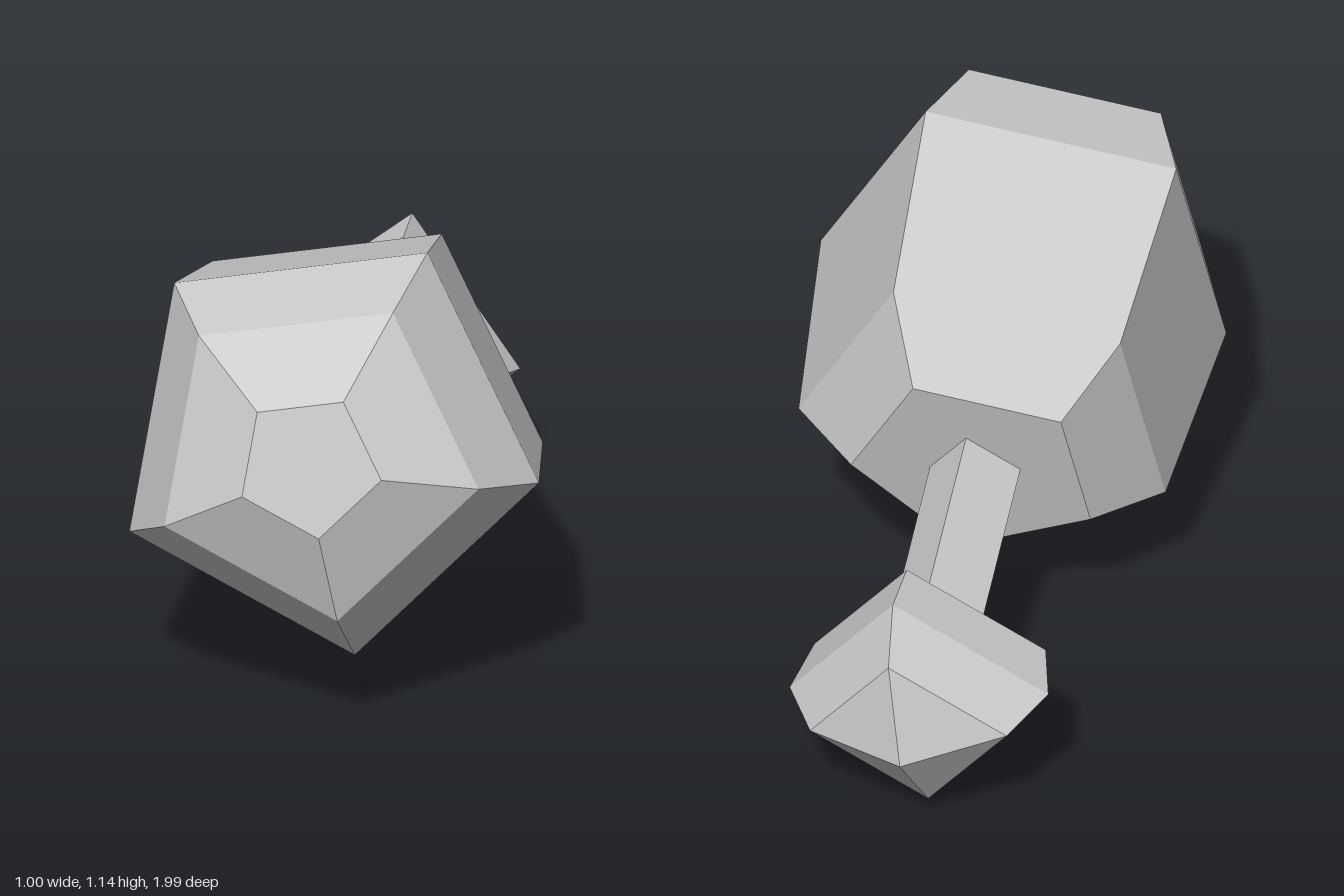
import * as THREE from 'three';

// Faceted solid of revolution: rings are [position along axis, radius], back to front
function facetedLathe(rings, sides, material, name) {
  const stretch = Math.hypot(1, 0.265, 0.037); // ring positions are given along z
  const points = rings.map(([z, r]) => new THREE.Vector2(r, z * stretch));
  const geometry = new THREE.LatheGeometry(points, sides).toNonIndexed();
  geometry.computeVertexNormals(); // one normal per facet
  const mesh = new THREE.Mesh(geometry, material);
  mesh.name = name;
  return mesh;
}

export function createModel() {
  const group = new THREE.Group();
  group.name = 'tiltedGrenade';
  const grey = new THREE.MeshStandardMaterial({ color: 0xcccccc });
  grey.name = 'grey';

  // Five-sided body with flat caps at both ends
  const body = facetedLathe(
    [[-0.083, 0], [-0.083, 0.316], [0.084, 0.484], [0.598, 0.535], [0.824, 0.41], [0.95, 0.182], [0.95, 0]],
    5, grey, 'body');

  // Square handle
  const handle = facetedLathe([[-0.56, 0.115], [-0.05, 0.115]], 4, grey, 'handle');

  // Four-sided knob with a pointed end
  const knob = facetedLathe(
    [[-1.0, 0], [-0.897, 0.25], [-0.766, 0.329], [-0.631, 0.294], [-0.541, 0.115], [-0.541, 0]],
    4, grey, 'knob');

  // Lean the common axis, with the first corner of every ring pointing to the left
  const axis = new THREE.Vector3(0.037, 0.265, 1).normalize();
  const corner = new THREE.Vector3(0.99, -0.142, 0);
  corner.addScaledVector(axis, -corner.dot(axis)).normalize();
  const side = new THREE.Vector3().crossVectors(axis, corner);
  const assembly = new THREE.Group();
  assembly.name = 'assembly';
  assembly.add(body, handle, knob);
  assembly.quaternion.setFromRotationMatrix(new THREE.Matrix4().makeBasis(side, axis, corner));
  assembly.position.set(-0.054, 0.524, 0);
  group.add(assembly);
  return group;
}
